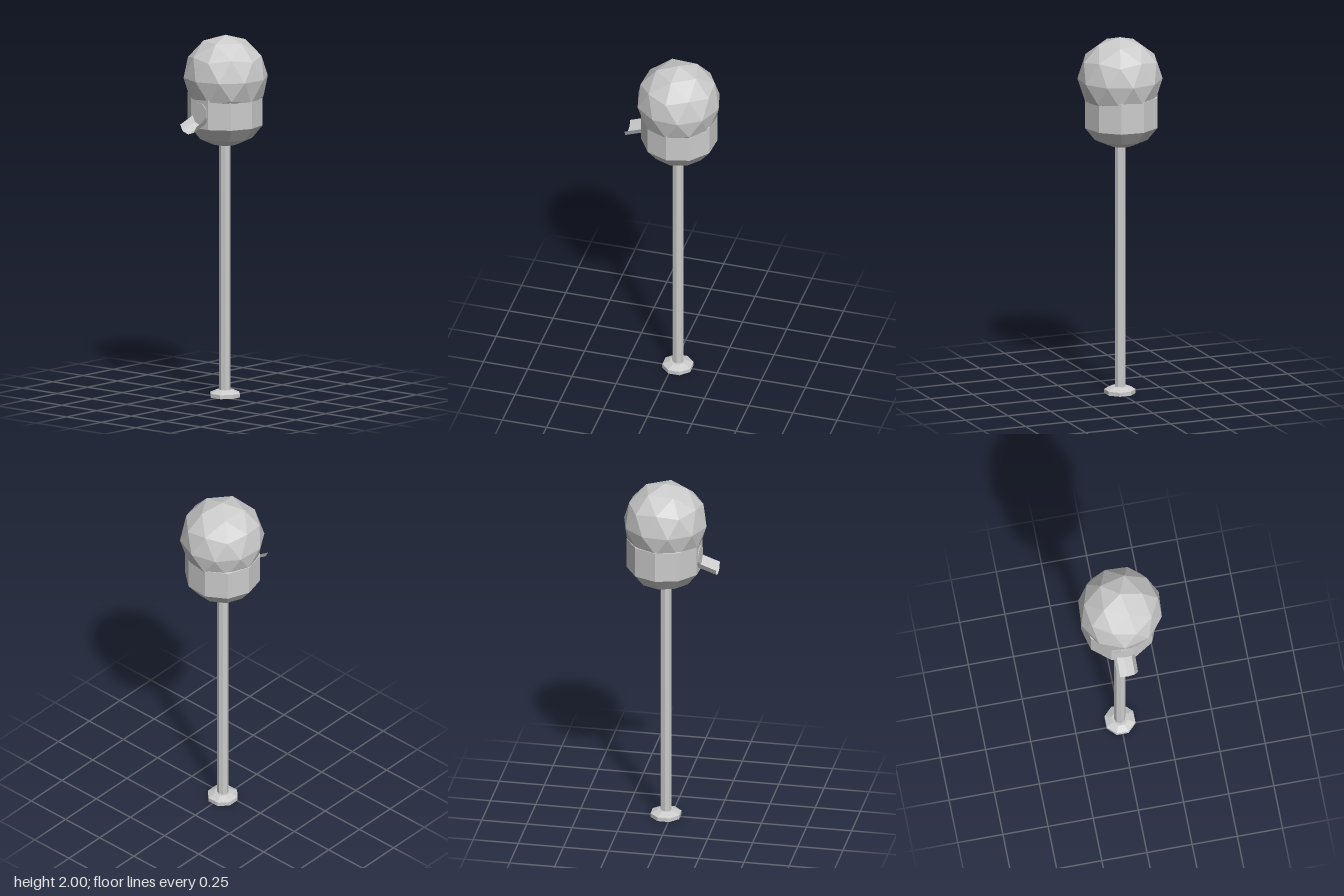
import * as THREE from 'three';

const deg = THREE.MathUtils.degToRad;

export function createModel() {
  const model = new THREE.Group();
  const solid = new THREE.MeshStandardMaterial({ color: 0xcccccc, flatShading: true });
  const thin = new THREE.MeshStandardMaterial({ color: 0xcccccc, flatShading: true, side: THREE.DoubleSide });

  const add = (name, geometry, x, y, z, material = solid) => {
    const mesh = new THREE.Mesh(geometry, material);
    mesh.name = name;
    mesh.position.set(x, y, z);
    model.add(mesh);
    return mesh;
  };
  const lathe = (points, sides) =>
    new THREE.LatheGeometry(points.map(([r, y]) => new THREE.Vector2(r, y)), sides);

  // Foot: hollow low flange, open underneath
  const foot = lathe([[0.086, 0], [0.086, 0.022], [0.045, 0.04], [0.02, 0.04]], 8);
  foot.rotateY(deg(22.5));
  add('foot', foot, -0.001, 0, -0.028, thin);

  // Pole
  const pole = new THREE.CylinderGeometry(0.031, 0.031, 1.4, 8);
  add('pole', pole, -0.002, 0.72, -0.028);

  // Body: ten-sided drum with a rounded underside, closed inside the globe
  const body = lathe([[0, 1.392], [0.07, 1.397], [0.15, 1.434], [0.207, 1.505],
    [0.207, 1.675], [0.15, 1.7], [0, 1.7]], 10);
  body.rotateY(deg(14));
  add('body', body, -0.006, 0, -0.034);

  // Globe: faceted ball with one vertex straight up
  const globe = new THREE.IcosahedronGeometry(0.232, 1);
  globe.rotateZ(Math.atan(2 / (1 + Math.sqrt(5))));
  globe.rotateY(deg(32));
  add('globe', globe, 0, 1.768, -0.032);

  // Outlet: octagonal plate on the front of the drum
  const plate = new THREE.CylinderGeometry(0.054, 0.054, 0.012, 8);
  plate.rotateY(deg(22.5));
  plate.rotateX(Math.PI / 2);
  add('outletPlate', plate, -0.014, 1.595, 0.161).rotation.y = deg(-4);

  // Chute: half pipe sloping down to the front, cut upright at its end
  const chute = new THREE.CylinderGeometry(0.058, 0.058, 0.14, 4, 1, true, -Math.PI / 2, Math.PI);
  chute.rotateX(Math.PI / 2);
  const p = chute.attributes.position;
  for (let i = 0; i < p.count; i++) {
    p.setY(i, p.getY(i) * 0.82 - 0.36 * (p.getZ(i) - 0.07));
  }
  chute.computeVertexNormals();
  add('chute', chute, -0.014, 1.535, 0.192, thin);

  return model;
}
